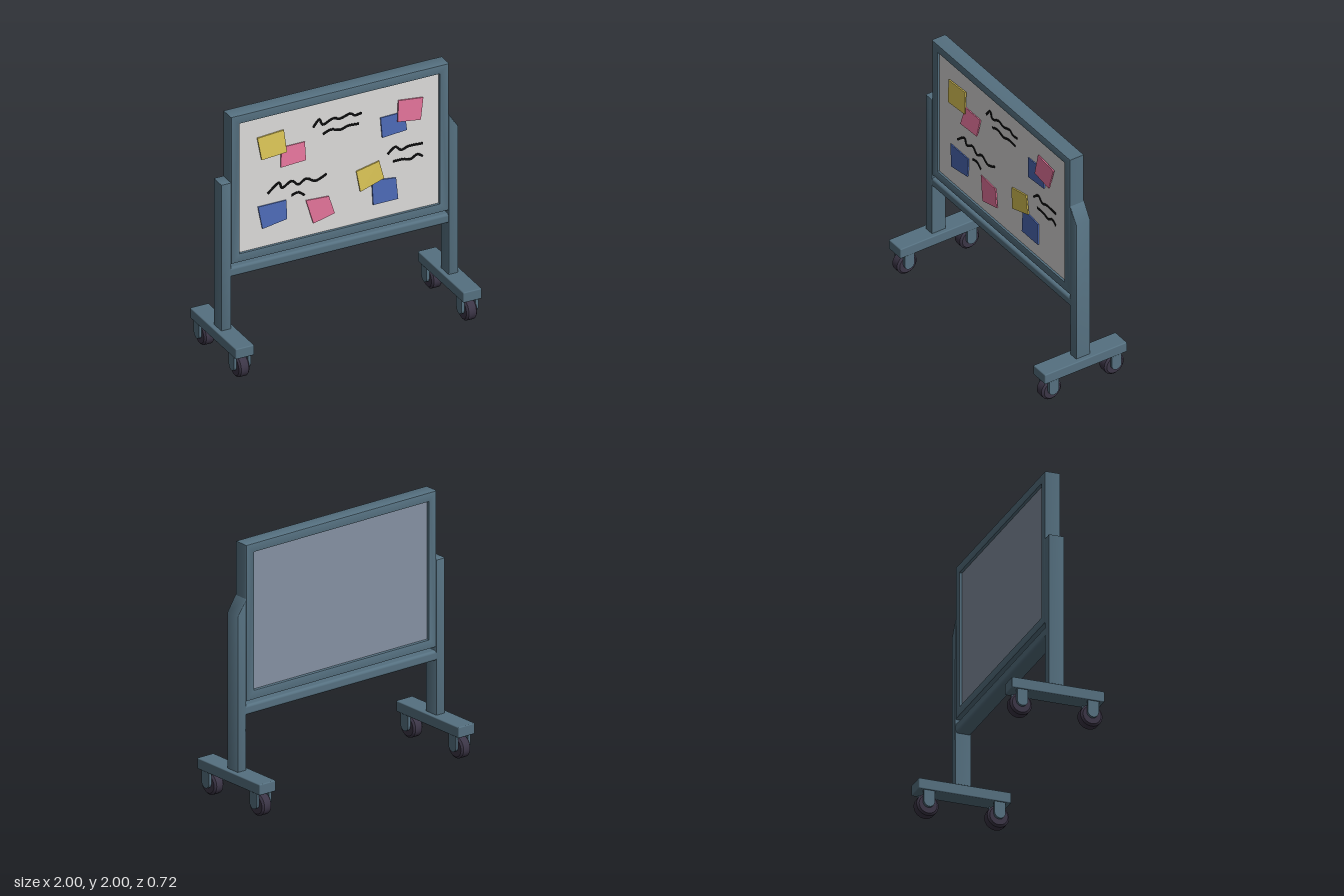
import * as THREE from 'three';
import { toCreasedNormals } from 'three/addons/utils/BufferGeometryUtils.js';
import { RoundedBoxGeometry } from 'three/addons/geometries/RoundedBoxGeometry.js';

const material = (name, color) => {
  const m = new THREE.MeshStandardMaterial({ color });
  m.name = name;
  return m;
};

export function createModel() {
  const steel = material('steelBlue', 0x557080);
  const white = material('boardWhite', 0xdcdbda);
  const backing = material('backingGrey', 0x8591a2);
  const rubber = material('rubber', 0x3b3546);
  const ink = material('ink', 0x0c0c0d);
  const yellow = material('noteYellow', 0xd8c255);
  const pink = material('notePink', 0xdc7095);
  const blue = material('noteBlue', 0x4c69b5);

  const root = new THREE.Group();
  root.name = 'mobileWhiteboard';
  const add = (parent, name, geometry, mat, x = 0, y = 0, z = 0) => {
    const mesh = new THREE.Mesh(geometry, mat);
    mesh.name = name;
    mesh.position.set(x, y, z);
    parent.add(mesh);
    return mesh;
  };
  const polygon = (pts) => new THREE.Shape(pts.map(([x, y]) => new THREE.Vector2(x, y)));
  const rect = (x0, y0, x1, y1) => [[x0, y0], [x1, y0], [x1, y1], [x0, y1]];

  // Extrusion centred on z = 0 with softly rounded edges
  const slab = (shape, depth, bevel) => {
    const g = new THREE.ExtrudeGeometry(shape, {
      depth: depth - 2 * bevel, bevelThickness: bevel, bevelSize: bevel,
      bevelOffset: -bevel, bevelSegments: 2,
    });
    g.translate(0, 0, bevel - depth / 2);
    return toCreasedNormals(g, 0.7);
  };

  // Frame around the board
  const frame = polygon(rect(-0.885, 0.795, 0.885, 2));
  frame.holes.push(polygon(rect(-0.812, 0.868, 0.808, 1.928)));
  add(root, 'frame', slab(frame, 0.126, 0.012), steel);

  // Writing surface and rear panel
  add(root, 'writingSurface', new THREE.BoxGeometry(1.64, 1.08, 0.045), white, 0, 1.398, 0.0225);
  add(root, 'rearPanel', new THREE.BoxGeometry(1.64, 1.08, 0.04), backing, 0, 1.398, -0.02);

  // Lower cross bar
  add(root, 'crossBar', new RoundedBoxGeometry(1.8, 0.077, 0.12, 3, 0.02), steel, 0, 0.727, 0);

  // Posts; the left one ends in a slanted top
  const post = (topInner) => polygon([[0.882, 0.25], [0.963, 0.25], [0.963, 1.465], [0.882, topInner]]);
  add(root, 'leftPost', slab(post(1.59), 0.124, 0.008), steel);
  add(root, 'rightPost', slab(post(1.465), 0.124, 0.008), steel).rotation.y = Math.PI;

  // Fork cheek: flat top, rounded bottom
  const cheek = new THREE.Shape();
  cheek.moveTo(-0.042, 0.2);
  cheek.lineTo(-0.042, 0.1);
  cheek.absarc(0, 0.1, 0.042, Math.PI, Math.PI * 2, false);
  cheek.lineTo(0.042, 0.2);
  const cheekGeometry = new THREE.ExtrudeGeometry(cheek, { depth: 0.022, bevelEnabled: false, curveSegments: 8 });
  cheekGeometry.translate(0, 0, -0.011).rotateY(Math.PI / 2);

  // Wheel with rounded shoulders
  const wheelProfile = [[0, -0.043], [0.07, -0.043], [0.085, -0.03], [0.085, 0.03], [0.07, 0.043], [0, 0.043]]
    .map(([r, y]) => new THREE.Vector2(r, y));
  const wheelGeometry = toCreasedNormals(new THREE.LatheGeometry(wheelProfile, 28).rotateZ(Math.PI / 2), 0.6);

  // Feet with two casters each
  for (const side of [-1, 1]) {
    const foot = new THREE.Group();
    foot.name = side > 0 ? 'leftFoot' : 'rightFoot';
    foot.position.x = side * 0.924;
    root.add(foot);
    add(foot, 'footBeam', new RoundedBoxGeometry(0.152, 0.084, 0.716, 2, 0.008), steel, 0, 0.228, 0);
    for (const z of [-0.273, 0.273]) {
      add(foot, 'wheel', wheelGeometry, rubber, 0, 0.085, z);
      for (const s of [-1, 1]) add(foot, 'forkCheek', cheekGeometry, steel, s * 0.057, 0, z);
    }
  }

  // Sticky notes: corners clockwise from top left, base height, lift of the lower edge
  const notes = [
    [yellow, [[-0.67, 1.775], [-0.455, 1.79], [-0.44, 1.615], [-0.645, 1.6]], 0.052, 0.02],
    [pink, [[-0.47, 1.645], [-0.28, 1.645], [-0.285, 1.51], [-0.49, 1.5]], 0.042, 0.035],
    [blue, [[0.335, 1.685], [0.53, 1.69], [0.545, 1.54], [0.345, 1.525]], 0.042, 0.01],
    [pink, [[0.475, 1.797], [0.675, 1.775], [0.645, 1.61], [0.46, 1.635]], 0.052, 0.02],
    [blue, [[-0.66, 1.205], [-0.43, 1.205], [-0.43, 1.055], [-0.63, 1.025]], 0.042, 0.012],
    [pink, [[-0.27, 1.16], [-0.085, 1.15], [-0.045, 1.01], [-0.22, 0.97]], 0.042, 0.018],
    [yellow, [[0.135, 1.3], [0.32, 1.34], [0.355, 1.195], [0.16, 1.135]], 0.05, 0.014],
    [blue, [[0.265, 1.19], [0.46, 1.165], [0.472, 0.995], [0.27, 0.995]], 0.042, 0.01],
  ];
  for (const [mat, corners, base, lift] of notes) {
    const g = new THREE.ExtrudeGeometry(polygon(corners), { depth: 0.011, bevelEnabled: false });
    const p = g.attributes.position;
    for (let i = 0; i < p.count; i++) {
      const drop = (corners[0][1] - p.getY(i)) / 0.17;
      p.setZ(i, p.getZ(i) + base + lift * Math.max(0, drop));
    }
    g.computeVertexNormals();
    add(root, 'stickyNote', g, mat);
  }

  // Marker scribbles: thin ribbons along smooth curves
  const scribbles = [
    [[-0.21, 1.74], [-0.16, 1.795], [-0.13, 1.745], [-0.05, 1.775], [0.01, 1.76], [0.09, 1.78], [0.13, 1.757], [0.185, 1.763]],
    [[-0.13, 1.667], [-0.065, 1.688], [0.01, 1.668], [0.075, 1.685], [0.16, 1.68]],
    [[-0.58, 1.29], [-0.49, 1.358], [-0.46, 1.31], [-0.385, 1.347], [-0.33, 1.305], [-0.265, 1.337], [-0.19, 1.3], [-0.1, 1.335]],
    [[-0.385, 1.23], [-0.33, 1.24], [-0.28, 1.205]],
    [[0.395, 1.37], [0.455, 1.415], [0.505, 1.38], [0.57, 1.395], [0.68, 1.39]],
    [[0.44, 1.3], [0.52, 1.3], [0.58, 1.285], [0.635, 1.31], [0.68, 1.285]],
  ];
  for (const pts of scribbles) {
    const curve = new THREE.SplineCurve(pts.map(([x, y]) => new THREE.Vector2(x, y)));
    const upper = [], lower = [];
    for (let i = 0; i <= 40; i++) {
      const p = curve.getPoint(i / 40), t = curve.getTangent(i / 40).multiplyScalar(0.009);
      upper.push([p.x - t.y, p.y + t.x]);
      lower.unshift([p.x + t.y, p.y - t.x]);
    }
    const g = new THREE.ExtrudeGeometry(polygon([...upper, ...lower]), { depth: 0.006, bevelEnabled: false });
    add(root, 'markerLine', g, ink, 0, 0, 0.043);
  }

  return root;
}
